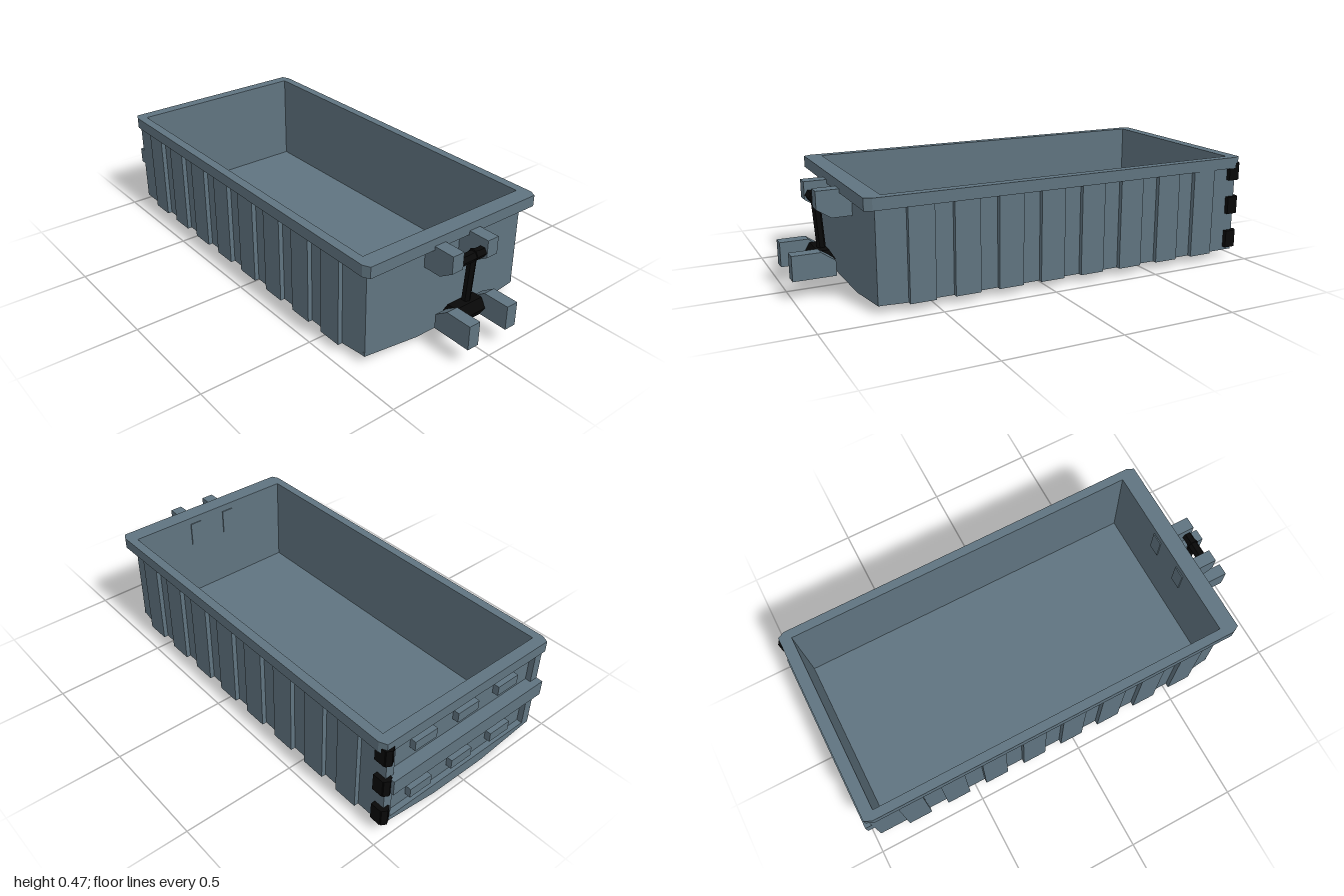
import * as THREE from 'three';

const steel = new THREE.MeshStandardMaterial({ color: 0x607480 });
const black = new THREE.MeshStandardMaterial({ color: 0x080808, flatShading: true });

const toShape = (points) => new THREE.Shape(points.map(([a, b]) => new THREE.Vector2(a, b)));
const extrude = (shape, depth) => new THREE.ExtrudeGeometry(shape, { depth, bevelEnabled: false });

// Rectangular opening shared by walls and rim, as clockwise plan points (x, z)
const opening = () => toShape([[-0.415, -0.925], [-0.415, 0.715], [0.415, 0.715], [0.415, -0.925]]);

export function createModel() {
  const model = new THREE.Group();

  const add = (name, geometry, material = steel, x = 0, y = 0, z = 0) => {
    const mesh = new THREE.Mesh(geometry, material);
    mesh.name = name;
    mesh.position.set(x, y, z);
    model.add(mesh);
    return mesh;
  };

  // Counter-clockwise plan outline (x, z) with the opening cut out, between two heights
  const addPlan = (name, points, bottom, top) => {
    const shape = toShape(points);
    shape.holes.push(opening());
    add(name, extrude(shape, top - bottom).rotateX(Math.PI / 2), steel, 0, top, 0);
  };

  // Side profile (z, y) extruded across x
  const addProfile = (name, points, width, x) =>
    add(name, extrude(toShape(points), width).translate(0, 0, -width / 2).rotateY(-Math.PI / 2), steel, x);

  // Six-sided rod between two points, optionally tapered
  const addRod = (name, from, to, radius, endRadius = radius) => {
    const a = new THREE.Vector3(...from), b = new THREE.Vector3(...to);
    const dir = b.clone().sub(a);
    const mesh = add(name, new THREE.CylinderGeometry(endRadius, radius, dir.length(), 6), black);
    mesh.position.copy(a).add(b).multiplyScalar(0.5);
    mesh.quaternion.setFromUnitVectors(new THREE.Vector3(0, 1, 0), dir.normalize());
  };

  // Ribbed walls: one side of the outline from front to back, then mirrored
  const side = [[0.415, 0.74]];
  for (let i = 0; i < 8; i++) {
    const z = 0.62 - i * 0.1925;
    side.push([0.43, z], [0.45, z], [0.45, z - 0.11], [0.43, z - 0.11]);
  }
  // rear post and recessed tailgate panel
  side.push([0.43, -0.97], [0.39, -0.97], [0.39, -0.945]);
  const mirrored = side.map(([x, z]) => [-x, z]);
  addPlan('ribbedWalls', [...mirrored, ...side.reverse()], 0.035, 0.425);

  // Top rim with chamfered corners
  addPlan('rim', [
    [0.455, 0.76], [0.44, 0.79], [-0.44, 0.79], [-0.455, 0.76],
    [-0.455, -0.945], [-0.44, -0.977], [0.44, -0.977], [0.455, -0.945],
  ], 0.425, 0.475);

  // Floor with its shallow keel
  const floor = toShape([
    [-0.14, 0], [0.14, 0], [0.417, 0.035], [0.417, 0.052], [-0.417, 0.052], [-0.417, 0.035],
  ]);
  add('floor', extrude(floor, 1.71), steel, 0, 0, -0.97);

  // Tailgate: cross bar and two rows of blocks
  add('tailgateBar', new THREE.BoxGeometry(0.845, 0.07, 0.06), steel, -0.0075, 0.25, -0.97);
  for (const y of [0.105, 0.36])
    for (const x of [-0.23, 0, 0.23])
      add('tailgateBlock', new THREE.BoxGeometry(0.115, 0.045, 0.035), steel, x, y, -0.955);

  // Hinges on the left rear corner
  for (const y of [0.09, 0.25, 0.407]) {
    add('hingePlate', new THREE.BoxGeometry(0.035, 0.078, 0.05), black, 0.4325, y, -0.95);
    add('hingeBarrel', new THREE.CylinderGeometry(0.024, 0.024, 0.078, 6), black, 0.426, y, -0.967);
  }

  // Hook mount at the front: upper and lower bracket pairs
  for (const s of [-1, 1]) {
    addProfile('upperBracket', [
      [0.71, 0.325], [0.825, 0.325], [0.887, 0.365], [0.887, 0.442], [0.71, 0.442],
    ], 0.057, s * 0.0935);
    addProfile('lowerBracket', [
      [0.82, 0.085], [1, 0.085], [1, 0.192], [0.88, 0.192], [0.82, 0.15],
    ], 0.055, s * 0.104 + 0.005);
  }

  // Hook bar, link and roller
  addRod('hookBar', [-0.067, 0.385, 0.862], [0.067, 0.385, 0.862], 0.023);
  addRod('linkKnuckle', [0.012, 0.387, 0.862], [0.04, 0.387, 0.862], 0.028, 0.02);
  addRod('link', [0.012, 0.385, 0.861], [0.012, 0.15, 0.845], 0.019);
  addRod('roller', [-0.07, 0.137, 0.852], [0.07, 0.137, 0.852], 0.047);
  addRod('rollerCap', [0.07, 0.137, 0.852], [0.083, 0.137, 0.852], 0.045, 0.022);

  return model;
}
